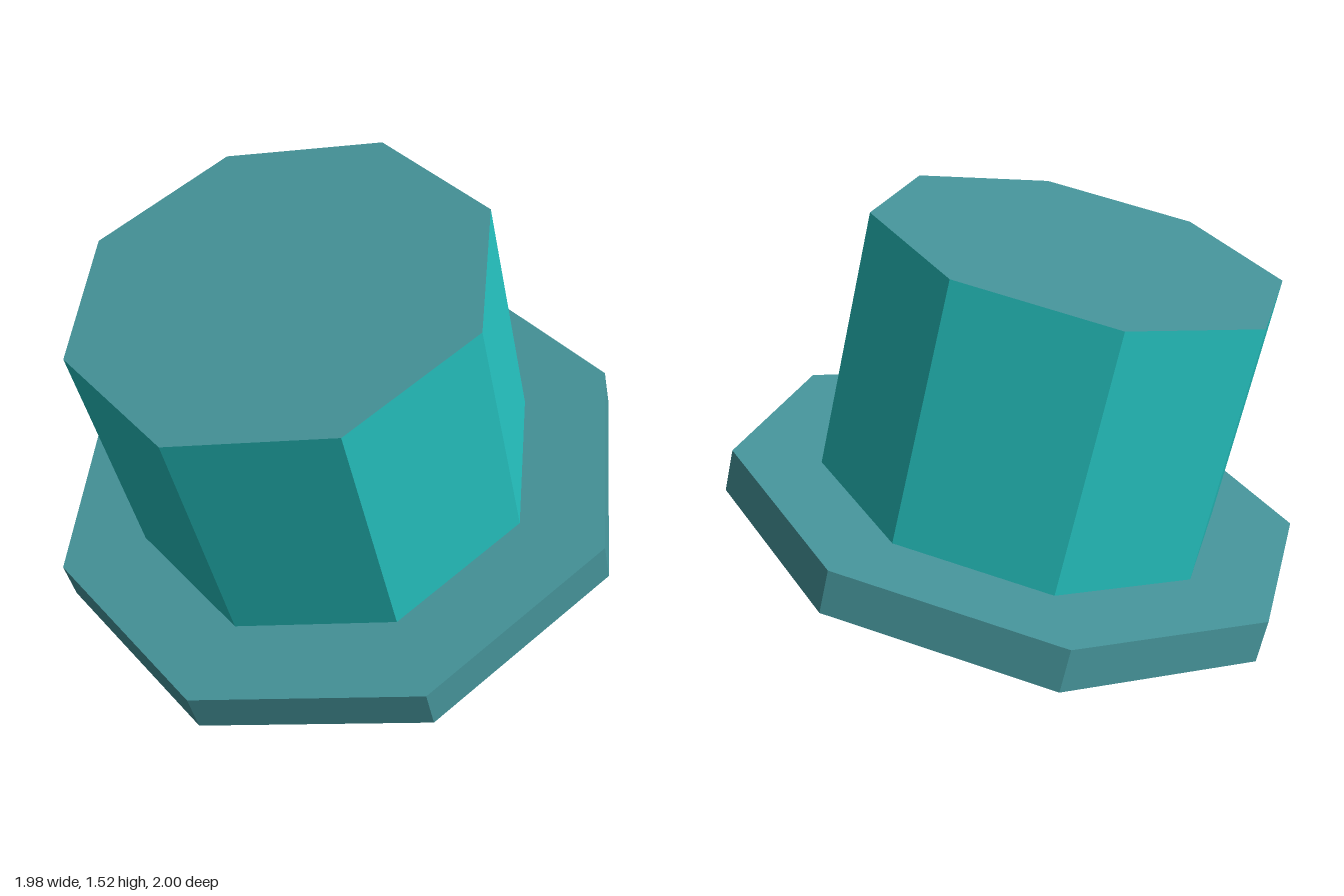
import * as THREE from 'three';

export function createModel() {
  const model = new THREE.Group();
  model.name = 'tiltedHat';

  const material = (name, color) => {
    const m = new THREE.MeshStandardMaterial({ color, flatShading: true, side: THREE.DoubleSide });
    m.name = name;
    return m;
  };
  const brightTeal = material('bright teal', 0x24bfbd);
  const greyTeal = material('grey teal', 0x46959b);

  const SIDES = 8;
  const TURN = Math.PI / SIDES; // puts flat sides on the axes
  const radius = (apothem) => apothem / Math.cos(TURN);

  const add = (parent, name, geometry, mat) => {
    const mesh = new THREE.Mesh(geometry, mat);
    mesh.name = name;
    parent.add(mesh);
  };

  // Open octagonal wall between two heights
  const wall = (apothem, y0, y1) =>
    new THREE.CylinderGeometry(radius(apothem), radius(apothem), y1 - y0, SIDES, 1, true)
      .rotateY(TURN).translate(0, (y0 + y1) / 2, 0);

  // Flat octagonal ring, facing up (or down)
  const ring = (inner, outer, y, down = false) =>
    new THREE.RingGeometry(radius(inner), radius(outer), SIDES, 1, TURN)
      .rotateX(down ? Math.PI / 2 : -Math.PI / 2).translate(0, y, 0);

  const brimHeight = 0.163;
  const crownTop = 1.134;

  const hat = new THREE.Group();
  hat.name = 'hat';
  hat.rotation.z = THREE.MathUtils.degToRad(14.5);
  hat.position.set(0.018, 0.2504, 0);
  model.add(hat);

  // Hollow brim, open inside
  const brim = new THREE.Group();
  brim.name = 'brim';
  add(brim, 'brimEdge', wall(1, 0, brimHeight), greyTeal);
  add(brim, 'brimTop', ring(0.7, 1, brimHeight), greyTeal);
  add(brim, 'brimUnderside', ring(0.81, 1, 0, true), greyTeal);
  hat.add(brim);

  // Hollow crown with a flat lid
  const crown = new THREE.Group();
  crown.name = 'crown';
  add(crown, 'crownWall', wall(0.7, brimHeight, crownTop), brightTeal);
  const lid = new THREE.CircleGeometry(radius(0.7), SIDES, TURN)
    .rotateX(-Math.PI / 2).translate(0, crownTop, 0);
  add(crown, 'crownLid', lid, greyTeal);
  hat.add(crown);

  return model;
}
